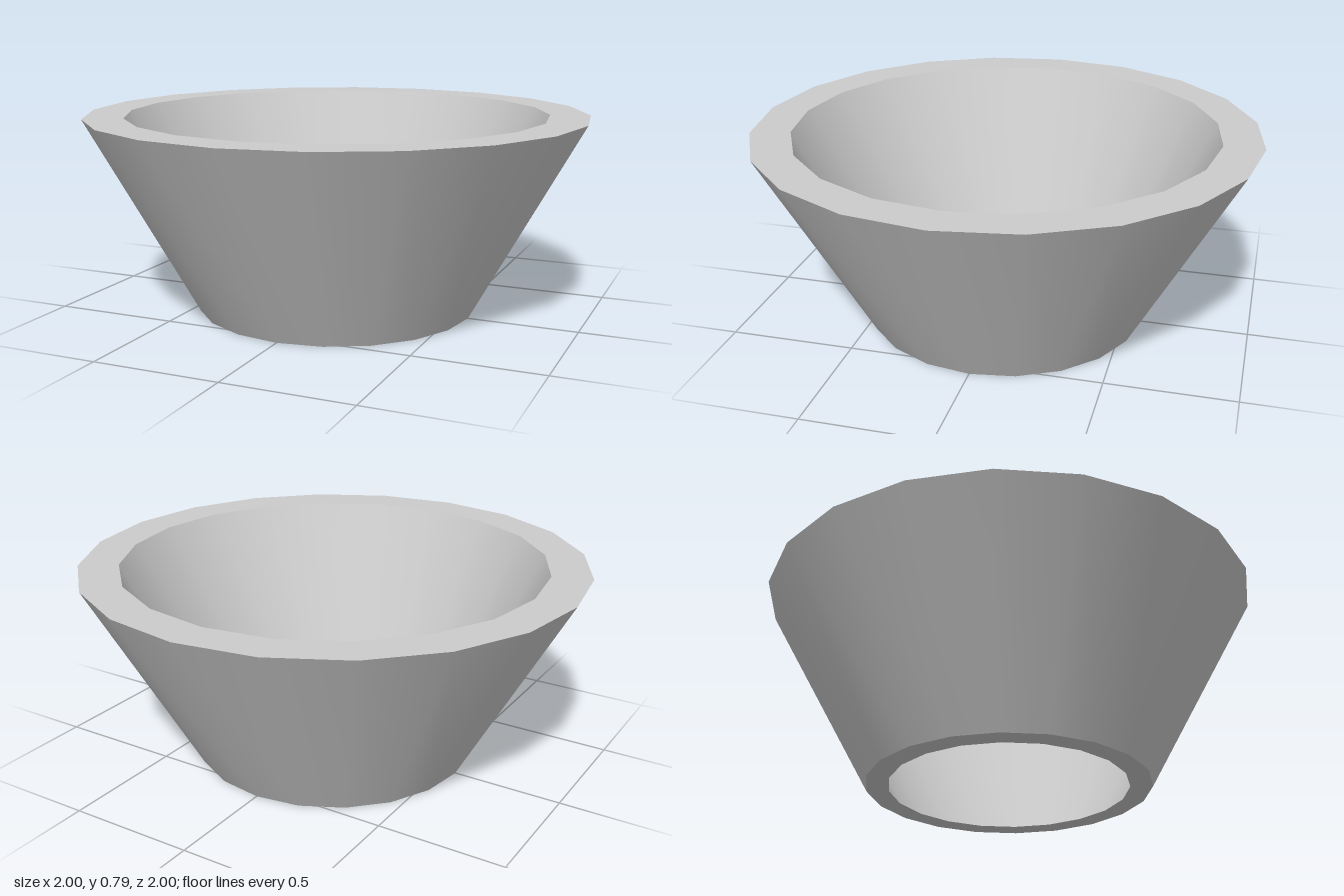
import * as THREE from 'three';
import { toCreasedNormals } from 'three/addons/utils/BufferGeometryUtils.js';

const SIDES = 20;
const HEIGHT = 0.79;

export function createModel() {
  const group = new THREE.Group();
  group.name = 'taperedRing';

  // Closed wall section: outer face up, across the rim, inner face down, across the base
  const section = [
    [0.564, 0],
    [1, HEIGHT],
    [0.842, HEIGHT],
    [0.475, 0],
    [0.564, 0],
  ].map(([r, y]) => new THREE.Vector2(r, y));

  // Smooth round the walls, sharp at the rim and base edges
  const geometry = toCreasedNormals(new THREE.LatheGeometry(section, SIDES), Math.PI / 6);
  const wall = new THREE.Mesh(geometry, new THREE.MeshStandardMaterial({ color: 0xcccccc }));
  wall.name = 'taperedWall';
  group.add(wall);

  return group;
}
